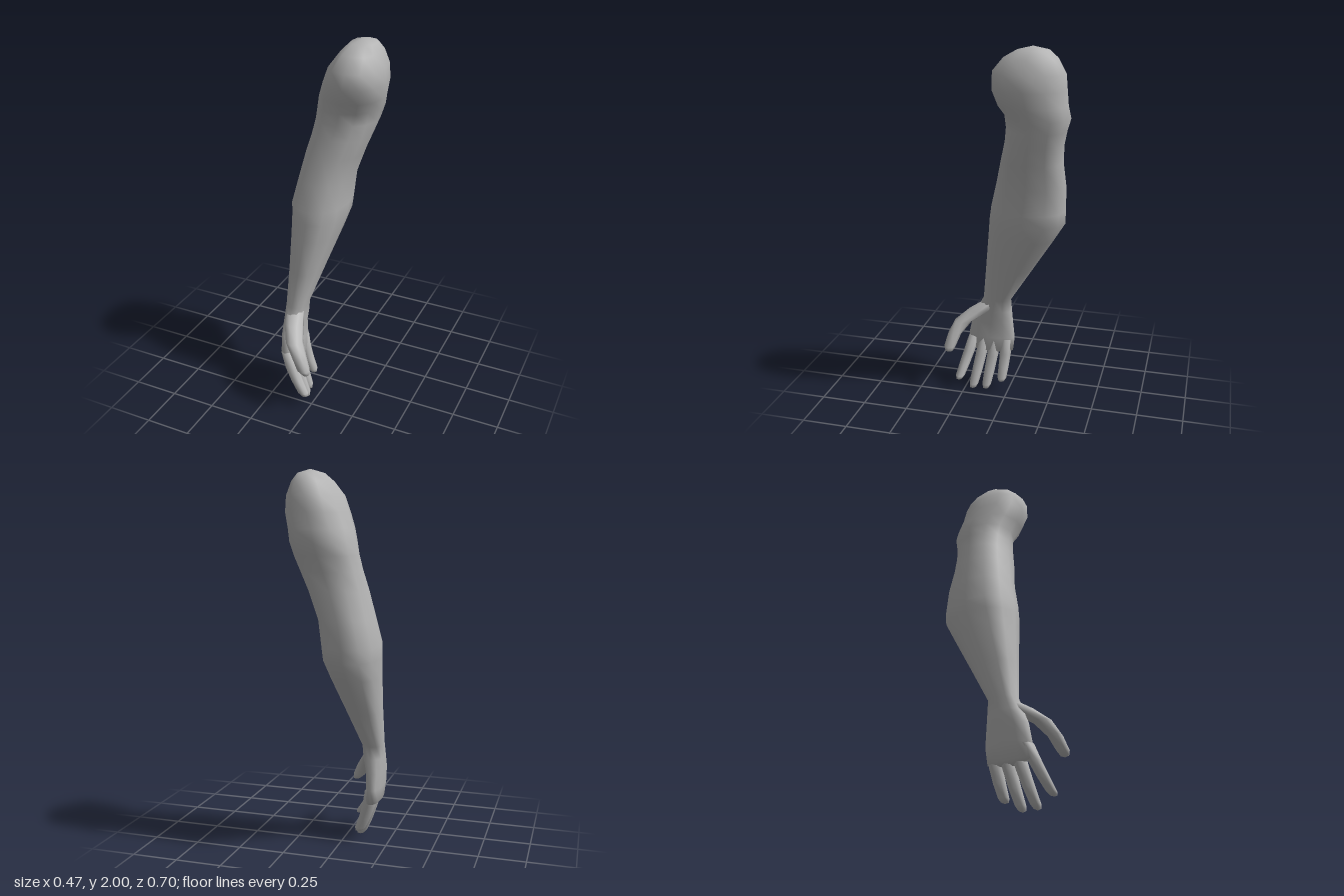
import * as THREE from 'three';

const skin = new THREE.MeshStandardMaterial({ color: 0xb4b4b4 });
skin.name = 'grey skin';

// Smooth closed loft through horizontal rings, listed top to bottom:
// [y, xMin, xMax, zMin, zMax, dent], dent pulling in the +x +z quarter.
function loft(name, rows, top, bottom, sides, power) {
  const pos = [...top], index = [];
  const bend = (v) => Math.sign(v) * Math.pow(Math.abs(v), 2 / power);
  for (const [y, x0, x1, z0, z1, dent = 0] of rows) {
    for (let j = 0; j < sides; j++) {
      const t = (j / sides) * Math.PI * 2;
      const k = 1 - dent * Math.max(0, Math.cos(t - Math.PI / 4)) ** 3;
      pos.push(
        (x0 + x1) / 2 + bend(Math.cos(t)) * k * (x1 - x0) / 2, y,
        (z0 + z1) / 2 + bend(Math.sin(t)) * k * (z1 - z0) / 2);
    }
  }
  pos.push(...bottom);
  const last = pos.length / 3 - 1;
  const at = (i, j) => 1 + i * sides + (j % sides);
  for (let j = 0; j < sides; j++) {
    index.push(0, at(0, j + 1), at(0, j));
    for (let i = 0; i < rows.length - 1; i++) {
      const a = at(i, j), b = at(i, j + 1), c = at(i + 1, j), d = at(i + 1, j + 1);
      index.push(a, b, c, b, d, c);
    }
    index.push(last, at(rows.length - 1, j), at(rows.length - 1, j + 1));
  }
  const geo = new THREE.BufferGeometry();
  geo.setAttribute('position', new THREE.Float32BufferAttribute(pos, 3));
  geo.setIndex(index);
  geo.computeVertexNormals();
  const mesh = new THREE.Mesh(geo, skin);
  mesh.name = name;
  return mesh;
}

// Digit from centre points [x, y, z, xRadius, zRadius], root to tip
function digit(name, points, tip) {
  const rows = points.map(([x, y, z, rx, rz]) => [y, x - rx, x + rx, z - rz, z + rz]);
  const [x, y, z] = points[0];
  return loft(name, rows, [x, y + 0.01, z], tip, 8, 2.2);
}

export function createModel() {
  const group = new THREE.Group();
  group.name = 'arm';

  // Shoulder, upper arm, forearm and palm
  group.add(loft('armAndPalm', [
    [1.98, 0.04, 0.17, -0.25, -0.09],
    [1.94, 0.0, 0.2, -0.295, -0.02],
    [1.87, -0.05, 0.228, -0.33, 0.04],
    [1.79, -0.08, 0.235, -0.335, 0.045],
    [1.71, -0.11, 0.22, -0.338, 0.022, 0.03],
    [1.645, -0.128, 0.208, -0.35, 0.0, 0.17],
    [1.58, -0.138, 0.19, -0.33, -0.008, 0.12],
    [1.5, -0.155, 0.16, -0.312, 0.0, 0.04],
    [1.4, -0.18, 0.12, -0.305, 0.025],
    [1.26, -0.21, 0.07, -0.315, 0.06],
    [1.12, -0.24, 0.058, -0.312, 0.095],
    [1.05, -0.236, 0.05, -0.31, 0.105],
    [0.95, -0.23, 0.022, -0.25, 0.115],
    [0.75, -0.22, -0.04, -0.125, 0.137],
    [0.55, -0.215, -0.1, 0.0, 0.16],
    [0.48, -0.215, -0.105, -0.005, 0.195],
    [0.4, -0.215, -0.118, -0.01, 0.232],
    [0.31, -0.208, -0.122, -0.02, 0.25],
    [0.23, -0.198, -0.118, -0.012, 0.24],
  ], [0.11, 2.0, -0.17], [-0.15, 0.205, 0.115], 12, 2.3));

  // Four fingers curling toward the palm: [name, root z, tip x, tip y, tip z]
  const fingers = [
    ['indexFinger', 0.218, -0.025, 0.07, 0.278],
    ['middleFinger', 0.155, -0.05, 0.01, 0.202],
    ['ringFinger', 0.092, -0.07, 0.005, 0.13],
    ['littleFinger', 0.025, -0.085, 0.055, 0.04],
  ];
  for (const [name, rz, tx, ty, tz] of fingers) {
    const rx = -0.16, ry = 0.3;
    const point = (f, bow, wx, wz) => [
      rx + (tx - rx) * f - bow, ry + (ty - ry) * f, rz + (tz - rz) * f, wx, wz];
    group.add(digit(name, [
      point(0, 0, 0.036, 0.032),
      point(0.35, 0.012, 0.036, 0.032),
      point(0.65, 0.01, 0.033, 0.03),
      point(0.9, 0.002, 0.029, 0.026),
      point(0.97, 0, 0.02, 0.018),
    ], [tx, ty, tz]));
  }

  // Thumb reaching forward and inward
  group.add(digit('thumb', [
    [-0.155, 0.53, 0.11, 0.045, 0.045],
    [-0.135, 0.48, 0.175, 0.05, 0.062],
    [-0.092, 0.42, 0.262, 0.046, 0.05],
    [-0.045, 0.355, 0.302, 0.04, 0.038],
    [-0.01, 0.29, 0.321, 0.034, 0.033],
    [0.004, 0.267, 0.322, 0.02, 0.022],
  ], [0.006, 0.258, 0.322]));

  return group;
}
